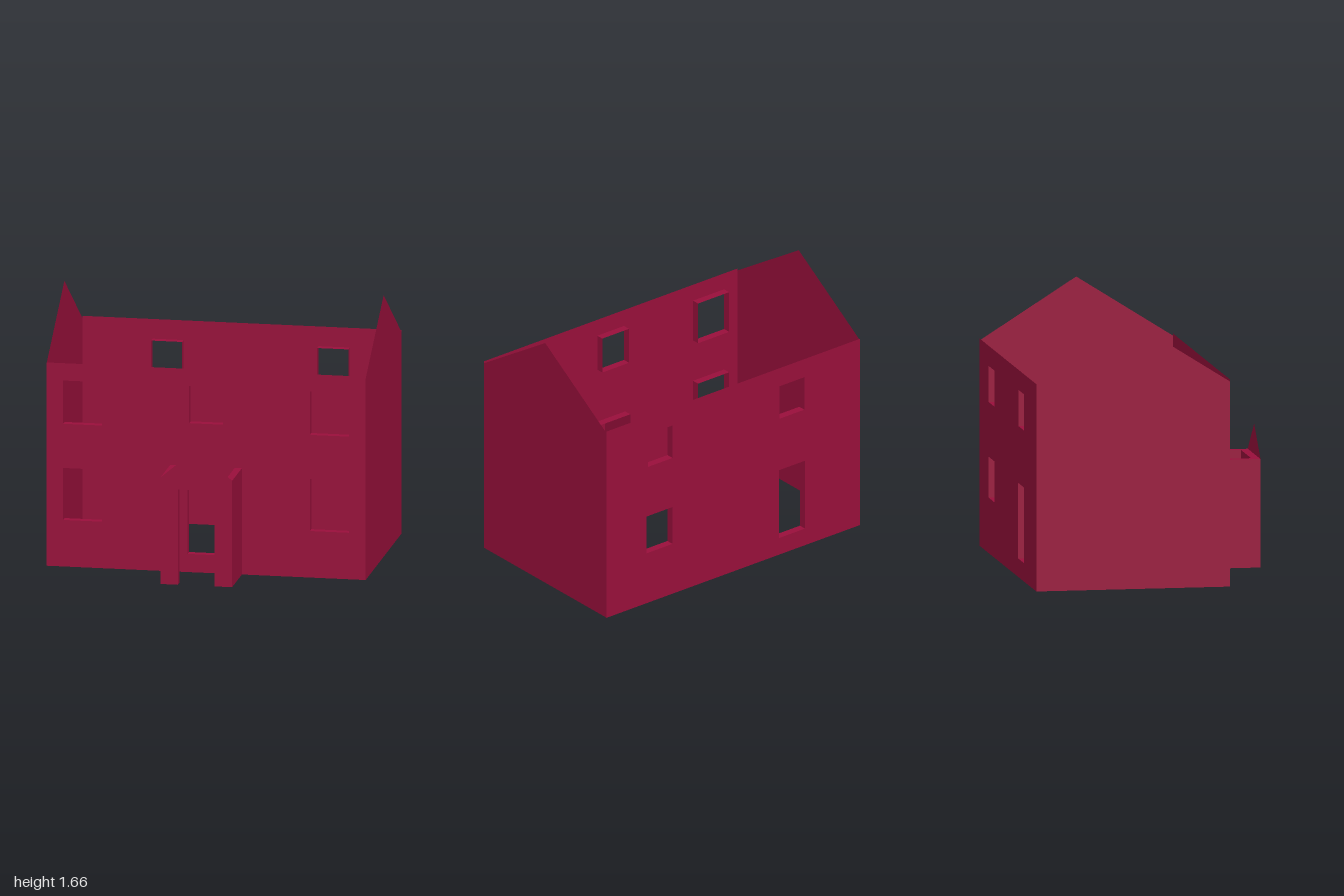
import * as THREE from 'three';
import { mergeGeometries } from 'three/addons/utils/BufferGeometryUtils.js';

const FRONT = 0.44, BACK = -0.77, EAVE = 1.29, DEPTH = 0.05;

function outline(points) {
  return new THREE.Shape(points.map(([x, y]) => new THREE.Vector2(x, y)));
}

function rect(x0, x1, y0, y1) {
  return [[x0, y0], [x1, y0], [x1, y1], [x0, y1]];
}

// Four thin sides lining an opening, running from z0 to z1
function revealGeometry([x0, x1, y0, y1], z0, z1) {
  const w = x1 - x0, h = y1 - y0, d = z1 - z0;
  const cx = (x0 + x1) / 2, cy = (y0 + y1) / 2, cz = (z0 + z1) / 2;
  const sides = [];
  for (const s of [-1, 1]) {
    sides.push(new THREE.PlaneGeometry(d, h).rotateY(-s * Math.PI / 2).translate(cx + s * w / 2, cy, cz));
    sides.push(new THREE.PlaneGeometry(w, d).rotateX(s * Math.PI / 2).translate(cx, cy + s * h / 2, cz));
  }
  return mergeGeometries(sides);
}

export function createModel() {
  const group = new THREE.Group();
  const paint = new THREE.MeshStandardMaterial({ color: 0x990f3b, side: THREE.DoubleSide });
  paint.name = 'crimson';

  function add(name, geometry, parent = group) {
    const mesh = new THREE.Mesh(geometry, paint);
    mesh.name = name;
    parent.add(mesh);
    return mesh;
  }

  // Sheet wall with openings, each lined by a reveal pointing indoors
  function addWall(name, z, inward, openings) {
    const wall = new THREE.Group();
    wall.name = name;
    const shape = outline(rect(-1, 1, 0, EAVE));
    for (const o of Object.values(openings)) shape.holes.push(outline(rect(...o)));
    add(name + 'Sheet', new THREE.ShapeGeometry(shape).translate(0, 0, z), wall);
    const z0 = Math.min(z, z + inward), z1 = Math.max(z, z + inward);
    for (const [key, o] of Object.entries(openings)) add(key + 'Reveal', revealGeometry(o, z0, z1), wall);
    group.add(wall);
  }

  addWall('frontWall', FRONT, -DEPTH, {
    upperLeftWindow: [0.65, 0.895, 0.905, 1.18],
    upperRightWindow: [-0.895, -0.65, 0.905, 1.18],
    lowerLeftWindow: [0.65, 0.895, 0.295, 0.625],
    lowerRightWindow: [-0.895, -0.65, 0.295, 0.625],
    upperMiddleWindow: [-0.105, 0.105, 0.945, 1.18],
    frontDoor: [-0.115, 0.115, 0.115, 0.585],
  });
  addWall('backWall', BACK, DEPTH, {
    upperLeftWindow: [0.48, 0.675, 0.94, 1.165],
    lowerLeftWindow: [0.48, 0.685, 0.345, 0.6],
    upperRightWindow: [-0.56, -0.365, 0.94, 1.165],
    backDoor: [-0.565, -0.36, 0.115, 0.585],
  });

  // Gable end walls
  const gable = outline([[BACK, 0], [FRONT, 0], [FRONT, 1.277], [-0.165, 1.66], [BACK, 1.277]]);
  for (const [name, x] of [['leftGable', 1], ['rightGable', -1]]) {
    add(name, new THREE.ShapeGeometry(gable).rotateY(-Math.PI / 2).translate(x, 0, 0));
  }

  // Porch: side walls, front frame with a doorway, thin pediment above
  const porch = new THREE.Group();
  porch.name = 'porch';
  group.add(porch);
  const half = 0.225, door = 0.115, top = 0.675, doorTop = 0.605, z0 = 0.72, z1 = 0.77;
  for (const [name, s] of [['leftPorchWall', 1], ['rightPorchWall', -1]]) {
    add(name, new THREE.BoxGeometry(0.045, top, z0 - FRONT)
      .translate(s * (half - 0.0225), top / 2, (FRONT + z0) / 2), porch);
  }
  const frame = outline([[-half, 0], [-door, 0], [-door, doorTop], [door, doorTop],
    [door, 0], [half, 0], [half, top], [-half, top]]);
  add('porchFrame', new THREE.ExtrudeGeometry(frame, { depth: z1 - z0, bevelEnabled: false })
    .translate(0, 0, z0), porch);
  const pediment = outline([[-half, top], [half, top], [0, 0.865]]);
  add('porchPediment', new THREE.ShapeGeometry(pediment).translate(0, 0, z1), porch);

  return group;
}
